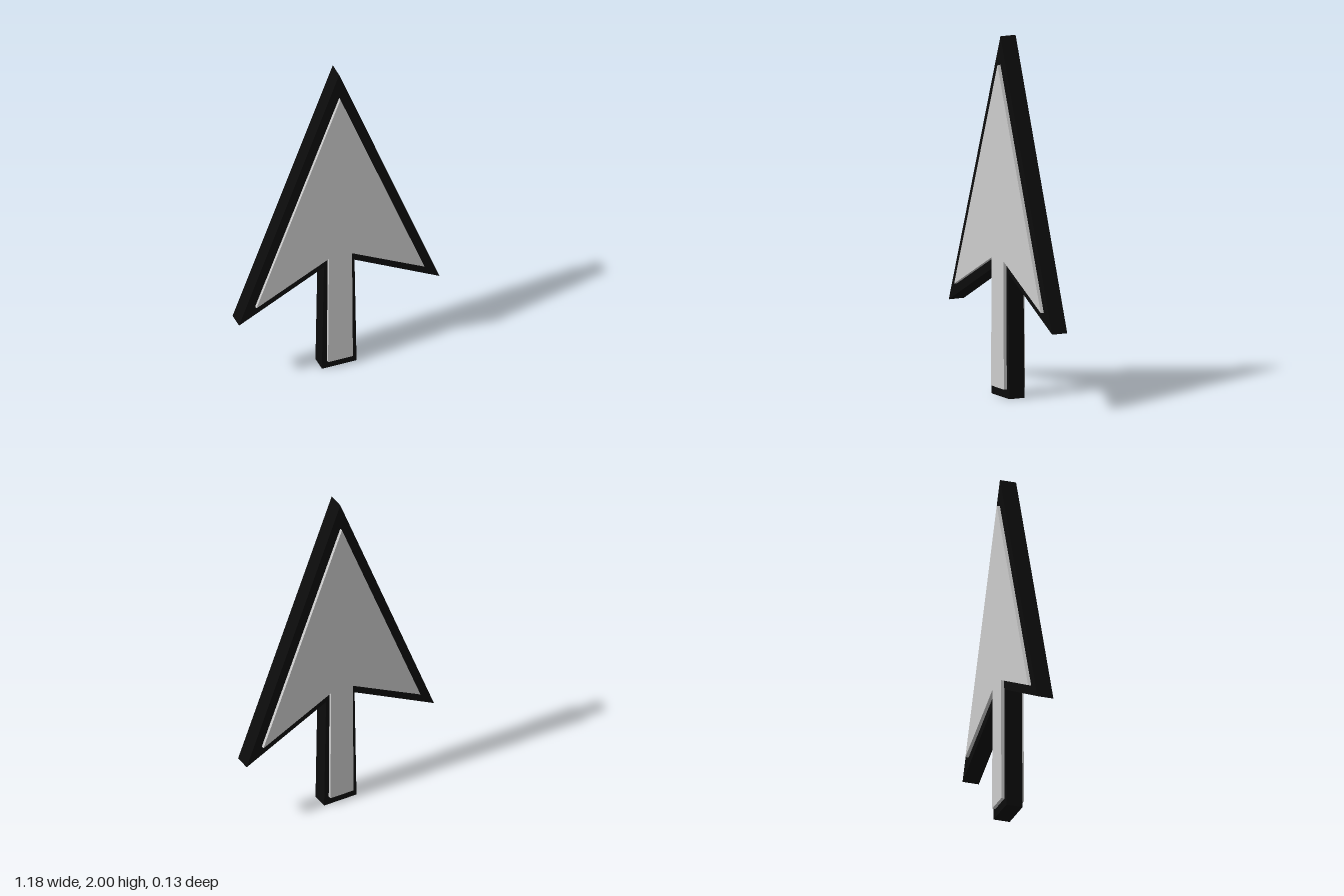
import * as THREE from 'three';

// Flat arrow slab, mirrored from the right half of its outline (tip first, foot last)
function arrowSlab(name, half, depth, material) {
  const mirrored = half.filter(([x]) => x > 0).reverse().map(([x, y]) => [-x, y]);
  const shape = new THREE.Shape([...half, ...mirrored].map(([x, y]) => new THREE.Vector2(x, y)));
  const geometry = new THREE.ExtrudeGeometry(shape, { depth, bevelEnabled: false });
  geometry.translate(0, 0, -depth / 2);
  const mesh = new THREE.Mesh(geometry, material);
  mesh.name = name;
  return mesh;
}

export function createModel() {
  const black = new THREE.MeshStandardMaterial({ color: 0x0c0c0c });
  black.name = 'black';
  const lightGrey = new THREE.MeshStandardMaterial({ color: 0xcccccc });
  lightGrey.name = 'light grey';

  const group = new THREE.Group();
  group.name = 'arrowPointer';

  // Dark border body
  group.add(arrowSlab('border',
    [[0, 2], [0.59, 0.44], [0.09, 0.698], [0.102, 0]], 0.094, black));

  // Pale core, standing slightly proud of the border on both faces
  group.add(arrowSlab('core',
    [[0, 1.842], [0.495, 0.545], [0.068, 0.762], [0.073, 0.05]], 0.131, lightGrey));

  return group;
}
